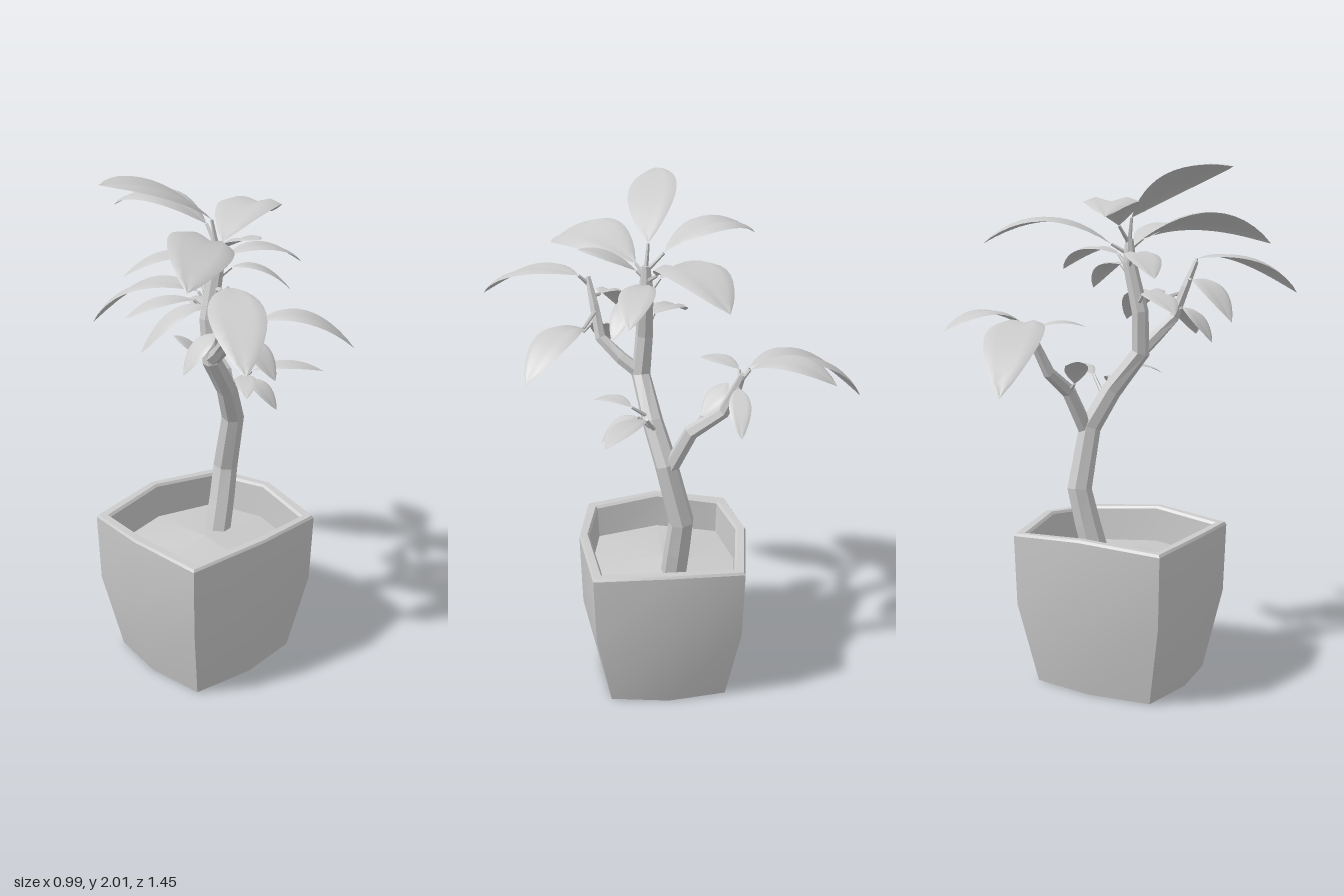
import * as THREE from 'three';
import { toCreasedNormals } from 'three/addons/utils/BufferGeometryUtils.js';

const V = (x, y, z) => new THREE.Vector3(x, y, z);
const smooth = new THREE.MeshStandardMaterial({ color: 0xcccccc });
const faceted = new THREE.MeshStandardMaterial({ color: 0xcccccc, flatShading: true });
const thin = new THREE.MeshStandardMaterial({ color: 0xcccccc, side: THREE.DoubleSide });

// Skin a list of cross-sections (rows of Vector3); closed joins each row into a ring
function skin(rows, closed) {
  const n = rows[0].length, cols = closed ? n : n - 1, index = [];
  for (let i = 0; i < rows.length - 1; i++) {
    for (let j = 0; j < cols; j++) {
      const k = (j + 1) % n;
      const a = i * n + j, b = i * n + k, c = (i + 1) * n + k, d = (i + 1) * n + j;
      index.push(a, b, c, a, c, d);
    }
  }
  const g = new THREE.BufferGeometry().setFromPoints(rows.flat());
  g.setIndex(index);
  g.computeVertexNormals();
  return g;
}

function add(group, name, geometry, material) {
  const mesh = new THREE.Mesh(geometry, material);
  mesh.name = name;
  group.add(mesh);
}

// Eight-point pot section: four corners plus four bulging side middles
function potRing(cornerX, cornerZ, bulge, cornerY, midY) {
  const ring = [];
  for (let j = 0; j < 8; j++) {
    const sx = Math.round(Math.cos(j * Math.PI / 4)), sz = -Math.round(Math.sin(j * Math.PI / 4));
    const b = j % 2 ? 0 : bulge;
    ring.push(V(-0.033 + sx * (cornerX + b), j % 2 ? cornerY : midY, 0.037 + sz * (cornerZ + b)));
  }
  return ring;
}

// Tapered limb along points given as [x, y, z, radius]
function limb(points, sides) {
  const p = points.map(([x, y, z]) => V(x, y, z));
  const rows = p.map((c, i) => {
    const t = p[Math.min(i + 1, p.length - 1)].clone().sub(p[Math.max(i - 1, 0)]).normalize();
    const ref = Math.abs(t.x) > 0.9 ? V(0, 0, 1) : V(1, 0, 0);
    const u = ref.addScaledVector(t, -ref.dot(t)).normalize();
    const v = t.clone().cross(u);
    return Array.from({ length: sides }, (_, j) => {
      const a = j / sides * Math.PI * 2, r = points[i][3];
      return c.clone().addScaledVector(u, Math.cos(a) * r).addScaledVector(v, Math.sin(a) * r);
    });
  });
  rows.push(rows[0].map(() => p[p.length - 1].clone()));
  return skin(rows, true);
}

// Arched blade with a sunken midrib; roll tips it sideways about its length
function blade(base, tip, rise, width, roll) {
  const mid = base.clone().lerp(tip, 0.5);
  mid.y += rise * 2;
  const curve = new THREE.QuadraticBezierCurve3(base, mid, tip);
  const chord = tip.clone().sub(base).normalize();
  const side = chord.clone().cross(V(0, 1, 0)).normalize().applyAxisAngle(chord, -roll);
  const rows = [];
  for (let i = 0; i <= 12; i++) {
    const f = i / 12;
    const c = curve.getPoint(f), up = side.clone().cross(curve.getTangent(f)).normalize();
    const half = width / 2 * Math.pow(Math.max(0, Math.sin(Math.PI * Math.pow(f, 1.04))), 0.8);
    rows.push([-1, -0.55, 0, 0.55, 1].map((s, j) =>
      c.clone().addScaledVector(side, s * half).addScaledVector(up, [-0.04, 0.12, -0.04, 0.12, -0.04][j] * half)));
  }
  return skin(rows, false);
}

// Leaves per stem: [node, base xyz, tip xyz, arch height, width, roll]
const crownLeaves = [
  [[-0.03, 1.73, 0.095], [-0.045, 1.82, 0.085], [-0.495, 2.0, 0.022], 0.05, 0.19, 0.2],
  [[-0.03, 1.72, 0.095], [-0.02, 1.79, 0.03], [-0.165, 1.82, -0.327], 0.075, 0.21],
  [[-0.03, 1.68, 0.095], [0.03, 1.72, 0.06], [0.49, 1.72, -0.147], 0.09, 0.23],
  [[-0.03, 1.7, 0.095], [-0.07, 1.74, 0.13], [-0.475, 1.72, 0.44], 0.08, 0.23, 0.3],
  [[-0.03, 1.69, 0.095], [-0.04, 1.72, 0.13], [-0.06, 1.8, 0.345], 0.02, 0.125],
  [[-0.03, 1.62, 0.095], [0.02, 1.68, 0.1], [0.325, 1.615, 0.18], 0.05, 0.13],
  [[-0.03, 1.6, 0.095], [0.02, 1.64, 0.12], [0.215, 1.54, 0.235], 0.04, 0.1],
  [[-0.03, 1.62, 0.095], [-0.07, 1.68, 0.04], [-0.27, 1.6, -0.15], 0.04, 0.13],
  [[-0.06, 1.47, 0.1], [-0.11, 1.53, 0.06], [-0.32, 1.47, -0.08], 0.03, 0.12],
];
const sideLeaves = [
  [[-0.21, 1.62, 0.3], [-0.2, 1.66, 0.34], [-0.48, 1.515, 0.72], 0.06, 0.19],
  [[-0.17, 1.53, 0.28], [-0.05, 1.5, 0.33], [0.23, 1.39, 0.545], 0.07, 0.16],
  [[-0.17, 1.5, 0.28], [-0.125, 1.46, 0.33], [-0.125, 1.345, 0.5], 0.03, 0.105],
  [[-0.19, 1.58, 0.29], [-0.22, 1.58, 0.26], [-0.44, 1.43, 0.155], 0.05, 0.12],
  [[-0.15, 1.46, 0.27], [-0.18, 1.47, 0.26], [-0.32, 1.34, 0.24], 0.03, 0.1],
];
const backLeaves = [
  [[0.21, 1.37, -0.225], [0.2, 1.42, -0.26], [0.015, 1.215, -0.727], 0.1, 0.21],
  [[0.22, 1.38, -0.23], [0.225, 1.42, -0.26], [0.385, 1.41, -0.545], 0.06, 0.16],
  [[0.21, 1.34, -0.22], [0.25, 1.36, -0.215], [0.425, 1.235, -0.205], 0.03, 0.08],
  [[0.21, 1.37, -0.225], [0.19, 1.41, -0.225], [0.05, 1.41, -0.1], 0.02, 0.09],
  [[0.155, 1.15, -0.055], [0.1, 1.19, -0.1], [0.02, 1.29, -0.21], 0.015, 0.09],
];
const lowLeaves = [
  [[0.07, 1.12, 0.07], [0.14, 1.2, 0.11], [0.367, 1.19, 0.275], 0.03, 0.1],
  [[0.07, 1.12, 0.07], [0.085, 1.19, 0.14], [0.11, 1.1, 0.28], 0.03, 0.09],
  [[0.04, 1.16, 0.08], [0.06, 1.22, 0.16], [-0.07, 1.2, 0.3], 0.025, 0.08],
];

function createModel() {
  const model = new THREE.Group();

  // Pot shell: underside, tapered walls, bevelled rim, inner wall
  const pot = skin([
    potRing(0, 0, 0, 0, 0),
    potRing(0.25, 0.232, 0.033, 0, 0),
    potRing(0.312, 0.286, 0.045, 0.32, 0.32),
    potRing(0.32, 0.293, 0.045, 0.597, 0.622),
    potRing(0.314, 0.287, 0.045, 0.607, 0.632),
    potRing(0.288, 0.262, 0.043, 0.607, 0.632),
    potRing(0.281, 0.255, 0.042, 0.597, 0.622),
    potRing(0.275, 0.25, 0.04, 0.45, 0.45),
  ], true);
  add(model, 'pot', toCreasedNormals(pot, 0.5), smooth);

  // Gently domed soil
  add(model, 'soil', skin([
    potRing(0.28, 0.255, 0.04, 0.465, 0.485),
    potRing(0, 0, 0, 0.515, 0.515),
  ], true), smooth);

  // Trunk and two side branches
  add(model, 'trunk', limb([
    [0.055, 0.45, 0.005, 0.054], [0.1, 0.62, -0.01, 0.052], [0.13, 0.76, -0.022, 0.05],
    [0.115, 1.0, 0.035, 0.045], [0.04, 1.15, 0.08, 0.041], [-0.07, 1.3, 0.115, 0.037],
    [-0.075, 1.46, 0.1, 0.034], [-0.03, 1.65, 0.095, 0.028], [-0.03, 1.74, 0.095, 0.016],
  ], 7), faceted);
  add(model, 'backBranch', limb([
    [0.12, 0.98, 0.025, 0.032], [0.155, 1.15, -0.055, 0.029], [0.17, 1.235, -0.175, 0.024],
    [0.2, 1.34, -0.217, 0.02], [0.22, 1.4, -0.235, 0.012],
  ], 6), faceted);
  add(model, 'sideBranch', limb([
    [-0.07, 1.3, 0.11, 0.028], [-0.1, 1.36, 0.19, 0.026], [-0.14, 1.43, 0.265, 0.023],
    [-0.18, 1.55, 0.285, 0.019], [-0.215, 1.65, 0.305, 0.011],
  ], 6), faceted);

  // Leaf clusters, each leaf with its own stalk
  const clusters = { crownLeaves, sideLeaves, backLeaves, lowLeaves };
  for (const [name, leaves] of Object.entries(clusters)) {
    const cluster = new THREE.Group();
    cluster.name = name;
    for (const [node, base, tip, rise, width, roll = 0] of leaves) {
      add(cluster, 'leafStalk', limb([[...node, 0.009], [...base, 0.006]], 5), faceted);
      add(cluster, 'leafBlade', blade(V(...base), V(...tip), rise, width, roll), thin);
    }
    model.add(cluster);
  }
  return model;
}

export { createModel };
